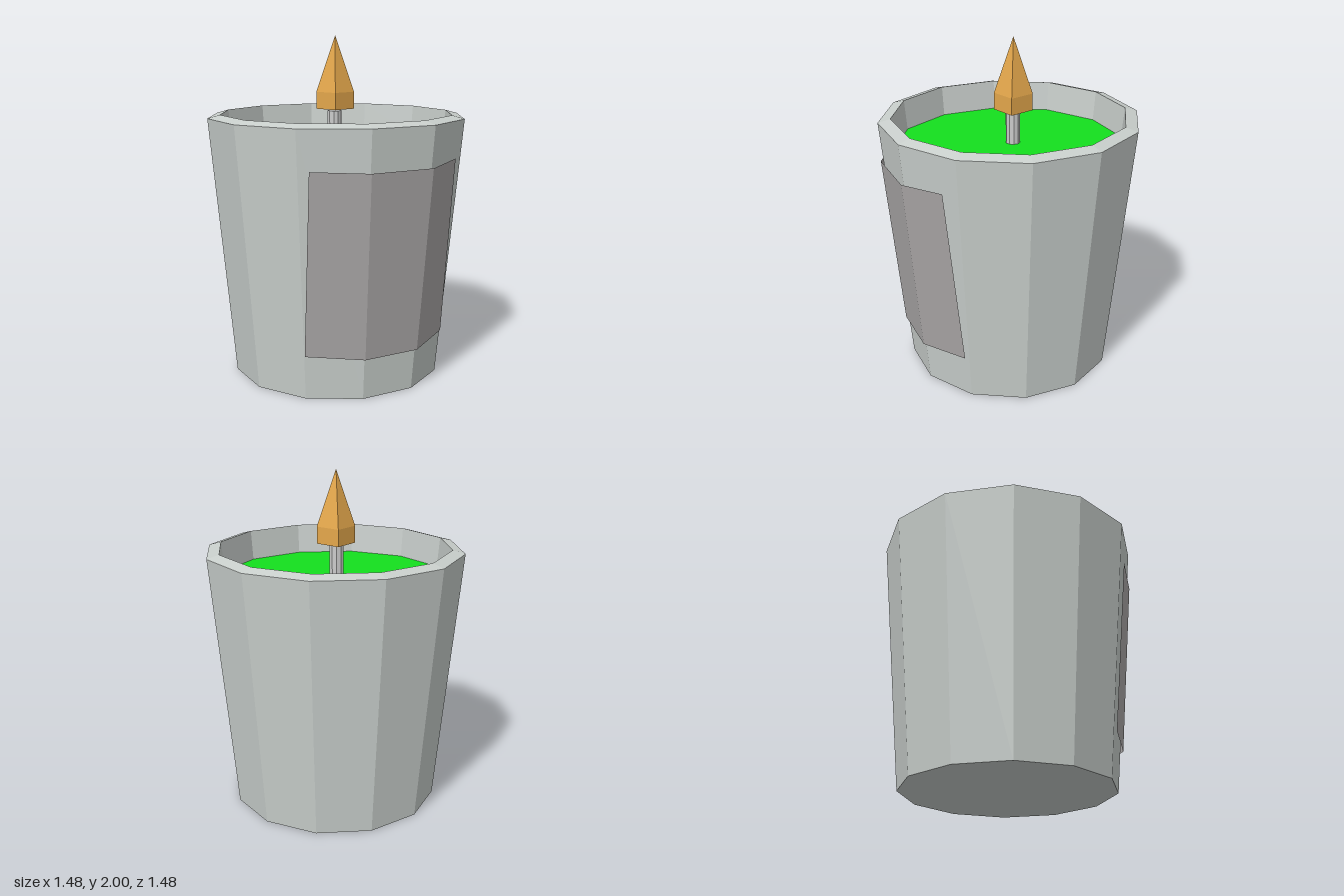
import * as THREE from 'three';

const SIDES = 12;
const TURN = 0.24; // rotation of the twelve-sided jar

function material(color = 0xcccccc, side = THREE.FrontSide) {
  return new THREE.MeshStandardMaterial({ color, side, flatShading: true });
}

function addLathe(group, name, profile, sides, turn, mat) {
  const points = profile.map(([r, y]) => new THREE.Vector2(r, y));
  const mesh = new THREE.Mesh(new THREE.LatheGeometry(points, sides, turn), mat);
  mesh.name = name;
  group.add(mesh);
  return mesh;
}

// Thin sheet joining a top and a bottom row of points
function sheet(top, bottom) {
  const geometry = new THREE.BufferGeometry();
  geometry.setAttribute('position', new THREE.Float32BufferAttribute([...top, ...bottom].flat(), 3));
  const index = [];
  const n = top.length;
  for (let i = 0; i < n - 1; i++) index.push(i, n + i, i + 1, i + 1, n + i, n + i + 1);
  geometry.setIndex(index);
  geometry.computeVertexNormals();
  return geometry;
}

export function createModel() {
  const group = new THREE.Group();
  group.name = 'candle';

  // Tapered jar with a sloped rim and a short inner wall
  addLathe(group, 'jar',
    [[0, 0], [0.62, 0], [0.763, 1.53], [0.69, 1.55], [0.673, 1.365]],
    SIDES, TURN, material(0xc9cfcc));

  // Wax surface
  addLathe(group, 'wax', [[0.674, 1.37], [0, 1.37]], SIDES, TURN, material(0x14e01e));

  // Label wrapped over three facets at the front
  const label = new THREE.Mesh(sheet(
    [[-0.49, 1.305, 0.558], [-0.211, 1.297, 0.727], [0.18, 1.297, 0.735], [0.435, 1.315, 0.595]],
    [[-0.47, 0.26, 0.461], [-0.184, 0.243, 0.634], [0.157, 0.243, 0.641], [0.435, 0.265, 0.488]],
  ), material(0xaaa7a7, THREE.DoubleSide));
  label.name = 'label';
  group.add(label);

  // Wick
  const wick = addLathe(group, 'wick', [[0.043, 1.36], [0.043, 1.56], [0, 1.56]], 10, 0, material());
  wick.position.z = -0.02;

  // Four-sided flame: short block under a tall point
  const flame = addLathe(group, 'flame',
    [[0, 1.57], [0.112, 1.57], [0.112, 1.67], [0, 2]], 4, 1.05, material(0xe5a84c));
  flame.position.set(0.004, 0, -0.02);

  return group;
}
